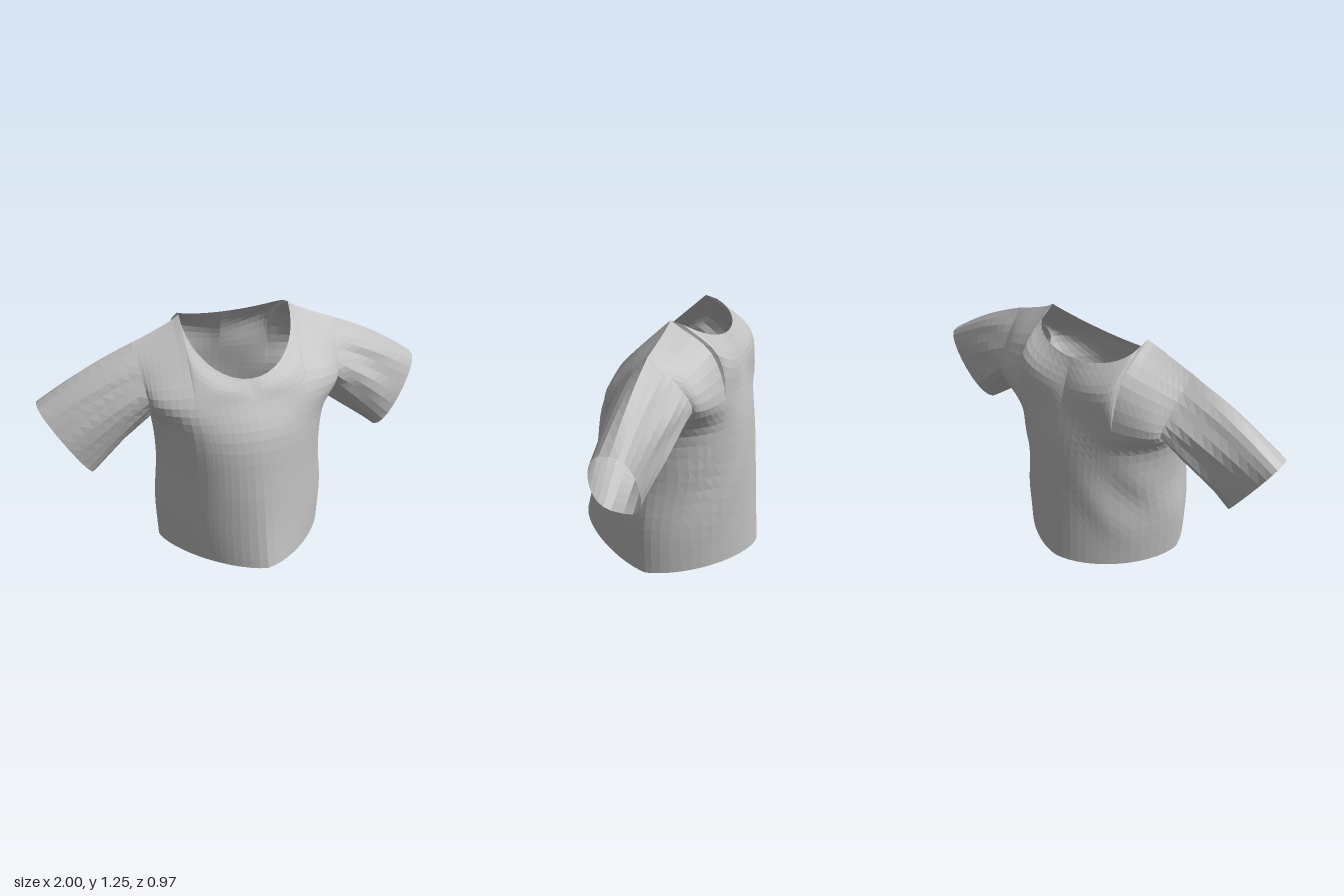
import * as THREE from 'three';

const NECK = 10, OUTER = 8, COLS = NECK + OUTER; // columns each side of the centre line
const SUB = 4, ROWS = 6 * SUB, ARMPIT = 3 * SUB; // rows up the body; sleeves start at ARMPIT

// Body cross-sections: centre height, edge height, half width, edge z, centre z, roundness
const STATIONS = {
  front: [
    [0.065, 0, 0.46, -0.03, 0.485, 1.45],
    [0.25, 0.25, 0.465, -0.03, 0.437, 1.55],
    [0.5, 0.5, 0.44, -0.05, 0.387, 1.8],
    [0.74, 0.74, 0.455, -0.06, 0.333, 2.05],
    [0.9, 0.9, 0.485, 0.1, 0.243, 2],
  ],
  back: [
    [0.02, 0, 0.46, -0.03, -0.485, 1.65],
    [0.25, 0.25, 0.465, -0.03, -0.47, 1.7],
    [0.5, 0.5, 0.44, -0.05, -0.455, 1.8],
    [0.74, 0.74, 0.455, -0.06, -0.43, 1.95],
    [0.9, 0.9, 0.485, -0.275, -0.395, 2],
  ],
};

// Surface from a grid of points
function gridGeometry(grid, flip) {
  const n = grid[0].length, index = [];
  for (let r = 0; r < grid.length - 1; r++) {
    for (let c = 0; c < n - 1; c++) {
      const a = r * n + c, b = a + 1, d = a + n, e = d + 1;
      index.push(...(flip ? [a, e, b, a, d, e] : [a, b, e, a, e, d]));
    }
  }
  const geometry = new THREE.BufferGeometry().setFromPoints(grid.flat());
  geometry.setIndex(index);
  geometry.computeVertexNormals();
  return geometry;
}

// One vertical line of the body, from the hem up to the neckline or shoulder seam
function bodyColumn(panel, j) {
  const front = panel === 'front';
  const side = Math.sign(j), m = Math.abs(j);
  const q = Math.max(0, (m - NECK) / OUTER);
  const th = Math.min(1, m / NECK) * Math.PI / 2;
  const cos = Math.max(0, Math.cos(th)), sin = Math.sin(th);
  const a = m <= NECK ? 0.58 * sin : 0.58 + 0.42 * Math.sin(q * Math.PI / 2);
  const points = STATIONS[panel].map(([yc, ye, w, ze, zc, p]) => {
    const s = Math.pow(Math.max(0, 1 - Math.pow(a, p)), 1 / p);
    return new THREE.Vector3(side * a * w, ye + (yc - ye) * s, ze + (zc - ze) * s);
  });
  // the neck opening is rounder in front and squarer behind
  const top = m <= NECK
    ? new THREE.Vector3(side * 0.28 * sin, 1.25 - (front ? 0.25 : 0.1) * cos,
      -0.1 + (front ? 0.28 * cos : -0.2 * Math.pow(cos, 0.65)))
    : new THREE.Vector3(side * (0.28 + 0.24 * q), 1.25 - 0.105 * Math.pow(q, 0.8), -0.1 + 0.02 * q);
  const mid = points[4].clone().lerp(top, 0.5);
  mid.z += front ? 0.025 * sin : -0.012 - 0.05 * sin + 0.025 * q;
  if (!front) mid.y += 0.04 * sin * (1 - q);
  const curve = new THREE.CatmullRomCurve3([...points, mid, top]);
  return Array.from({ length: ROWS + 1 }, (_, r) => {
    const v = curve.getPoint(r / ROWS);
    // broad slanting folds hanging below the arm at the back
    if (!front) {
      const weight = a * a * (1 - Math.pow(a, 6)) * Math.exp(-Math.pow((v.y - 0.45) / 0.22, 2));
      v.z -= 0.03 * weight * Math.sin(12 * (v.y + 2 * Math.abs(v.x) - 1.2));
    }
    return v;
  });
}

function bodyPanels() {
  const make = (panel) => Array.from({ length: 2 * COLS + 1 }, (_, i) => bodyColumn(panel, i - COLS));
  const front = make('front'), back = make('back');
  // join the side seams below the armpit
  for (const c of [0, 2 * COLS]) {
    for (let r = 0; r <= ARMPIT; r++) {
      front[c][r].lerp(back[c][r], 0.5);
      back[c][r].copy(front[c][r]);
    }
  }
  return { front, back };
}

// Sleeve lofted from the armhole to a cuff that narrows towards the top
function sleeveGrid(frontEdge, backEdge, side) {
  const half = ROWS - ARMPIT, K = 9;
  const around = (i) => (i <= half ? { w: i / half, dir: 1 } : { w: (2 * half - i) / half, dir: -1 });
  const armhole = [...frontEdge.slice(ARMPIT), ...backEdge.slice(ARMPIT, ROWS).reverse()];
  const cuff = armhole.map((_, i) => {
    const { w, dir } = around(i);
    const v = (1 - Math.cos(Math.PI * w)) / 2;
    const round = Math.pow(Math.max(0, Math.sin(Math.PI * w)), 0.65);
    const depth = dir > 0 ? 0.145 - 0.03 * v : -0.11 + 0.02 * v;
    return new THREE.Vector3(side * (0.77 + 0.23 * v), 0.5 + 0.38 * v, -0.055 - 0.045 * v + round * depth);
  });
  return Array.from({ length: K + 1 }, (_, k) => armhole.map((p, i) => {
    const { w, dir } = around(i);
    const t = k / K, v = p.clone().lerp(cuff[i], t);
    const swell = Math.sin(Math.PI * t);
    v.y += 0.02 * swell * w;
    // long creases running down from the shoulder, deepest near the armhole
    const fold = Math.sin(i * 1.7 + k * 0.3) * Math.sin(Math.PI * w);
    v.z -= dir * 0.014 * fold * swell * (1.2 - t);
    return v;
  }));
}

export function createModel() {
  const shirt = new THREE.Group();
  shirt.name = 'shirt';
  const cloth = new THREE.MeshStandardMaterial({ color: 0xbfbfbf, side: THREE.DoubleSide, flatShading: true });
  cloth.name = 'grey cloth';
  const add = (name, grid, flip) => {
    const mesh = new THREE.Mesh(gridGeometry(grid, flip), cloth);
    mesh.name = name;
    shirt.add(mesh);
  };

  // Body
  const { front, back } = bodyPanels();
  add('frontPanel', front, true);
  add('backPanel', back, false);

  // Sleeves
  add('leftSleeve', sleeveGrid(front[2 * COLS], back[2 * COLS], 1), true);
  add('rightSleeve', sleeveGrid(front[0], back[0], -1), false);
  return shirt;
}
